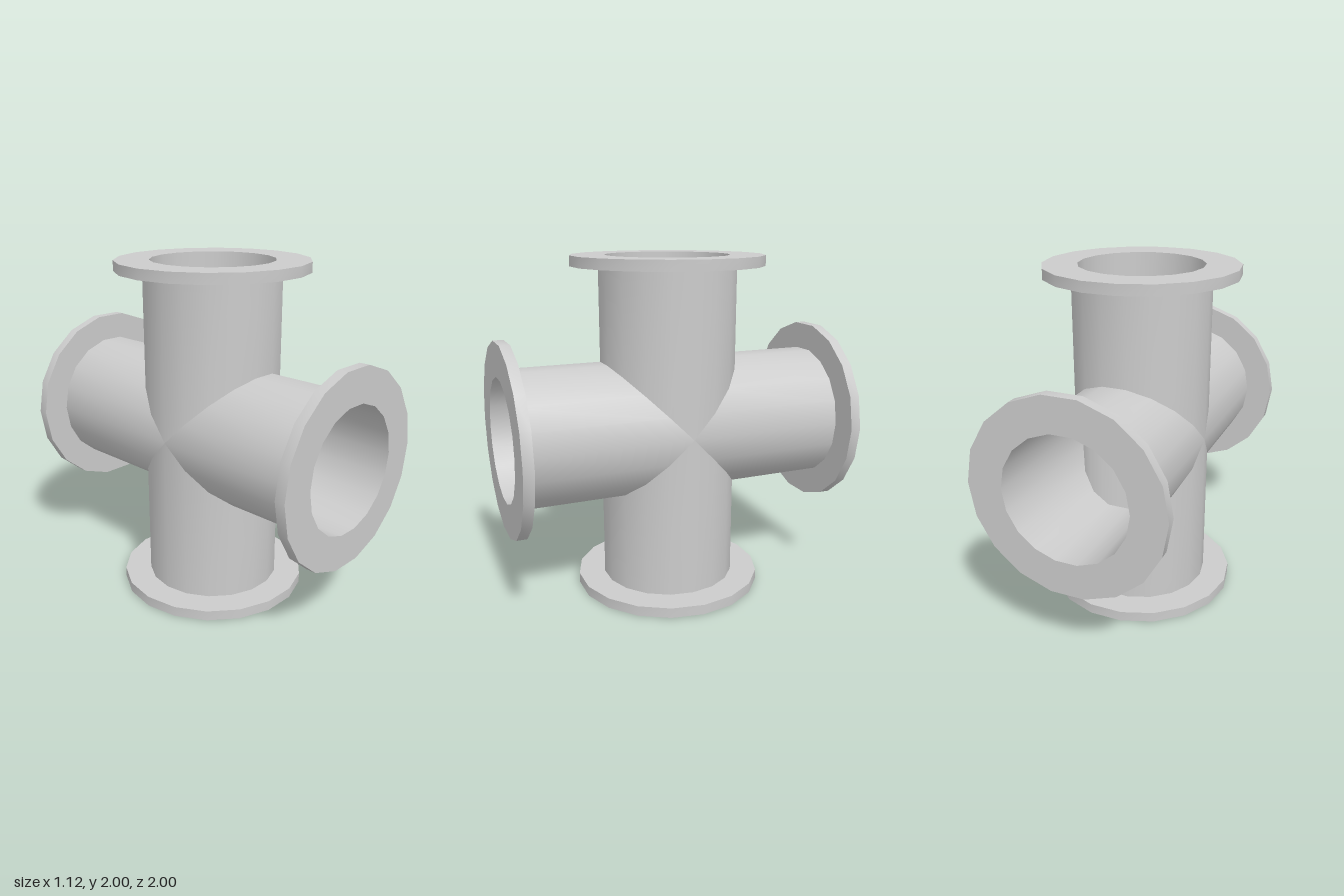
import * as THREE from 'three';
import { toCreasedNormals } from 'three/addons/utils/BufferGeometryUtils.js';

const SIDES = 18;
const PIPE_R = 0.4, BORE_R = 0.36, FLANGE_R = 0.56;
const FLANGE_Y = 0.94, END_Y = 1;
const MITRE = null; // height that follows the 45 degree joint between arms

// Sweeps a profile of [radius, height] around y; a MITRE height is cut at y = |z|.
function loft(profile) {
  const positions = [], index = [];
  profile.forEach(([r, h]) => {
    for (let i = 0; i < SIDES; i++) {
      const a = (i / SIDES) * Math.PI * 2;
      const z = r * Math.sin(a);
      positions.push(r * Math.cos(a), h === MITRE ? Math.abs(z) : h, z);
    }
  });
  for (let k = 0; k < profile.length - 1; k++) {
    for (let i = 0; i < SIDES; i++) {
      const j = (i + 1) % SIDES;
      const a = k * SIDES + i, b = k * SIDES + j;
      const c = a + SIDES, d = b + SIDES;
      index.push(a, c, b, b, c, d);
    }
  }
  const geometry = new THREE.BufferGeometry();
  geometry.setAttribute('position', new THREE.Float32BufferAttribute(positions, 3));
  geometry.setIndex(index);
  return toCreasedNormals(geometry, 0.6);
}

export function createModel() {
  const model = new THREE.Group();
  model.name = 'flangedPipeCross';
  const material = new THREE.MeshStandardMaterial({ color: 0xcccccc });

  const parts = {
    // outer wall, from the joint to the flange
    pipeWall: loft([[PIPE_R, MITRE], [PIPE_R, FLANGE_Y]]),
    // underside, rim and end face
    flange: loft([[PIPE_R, FLANGE_Y], [FLANGE_R, FLANGE_Y], [FLANGE_R, END_Y], [BORE_R, END_Y]]),
    // inner wall, from the open end back to the joint
    bore: loft([[BORE_R, END_Y], [BORE_R, MITRE]]),
  };

  // four arms around the x axis
  ['topArm', 'frontArm', 'bottomArm', 'backArm'].forEach((name, i) => {
    const arm = new THREE.Group();
    arm.name = name;
    for (const [part, geometry] of Object.entries(parts)) {
      const mesh = new THREE.Mesh(geometry, material);
      mesh.name = part;
      arm.add(mesh);
    }
    arm.rotation.x = (i * Math.PI) / 2;
    arm.position.y = 1;
    model.add(arm);
  });

  return model;
}
